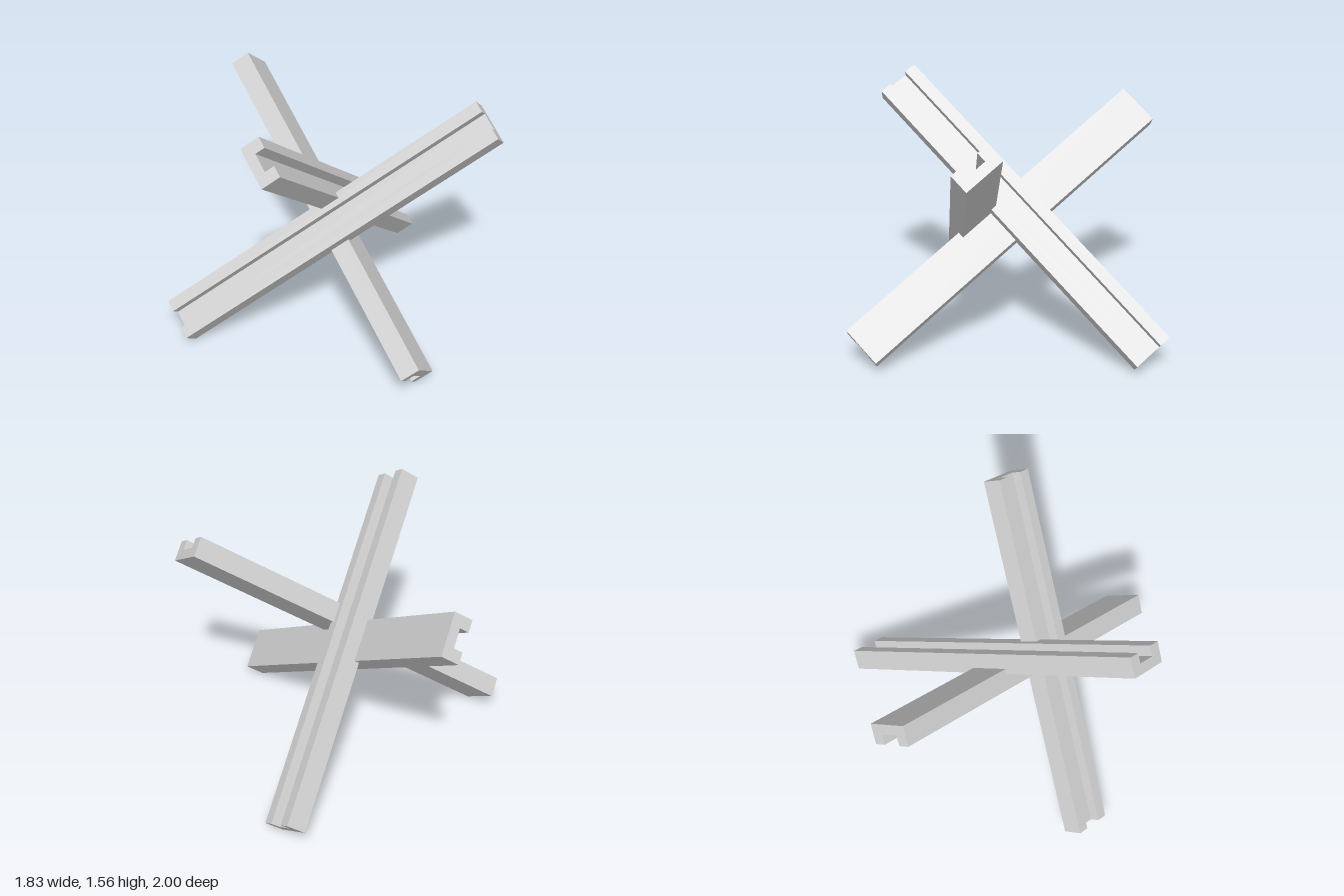
import * as THREE from 'three';

const LENGTH = 2.19, WIDTH = 0.254, DEPTH = 0.12, FLANGE = 0.07, WEB = 0.06;

// U-shaped channel section, open towards +y, extruded along z and centred
function channelGeometry() {
  const w = WIDTH / 2, d = DEPTH / 2, i = w - FLANGE, f = WEB - d;
  const section = new THREE.Shape([
    [-w, -d], [w, -d], [w, d], [i, d], [i, f], [-i, f], [-i, d], [-w, d],
  ].map(([x, y]) => new THREE.Vector2(x, y)));
  return new THREE.ExtrudeGeometry(section, { depth: LENGTH, bevelEnabled: false })
    .translate(0, 0, -LENGTH / 2);
}

export function createModel() {
  const group = new THREE.Group();
  group.name = 'crossedBeamBarrier';
  const geometry = channelGeometry();
  const material = new THREE.MeshStandardMaterial({ color: 0xcccccc, flatShading: true });

  // Three mutually perpendicular beam directions
  const p = new THREE.Vector3(0.7244, 0.578, 0.375).normalize();
  const q = new THREE.Vector3(-0.6915, 0.6185, 0.3765);
  q.addScaledVector(p, -q.dot(p)).normalize();
  const a = new THREE.Vector3().crossVectors(q, p);

  function addBeam(name, axis, open, centre) {
    const beam = new THREE.Mesh(geometry, material);
    beam.name = name;
    const side = new THREE.Vector3().crossVectors(open, axis);
    beam.quaternion.setFromRotationMatrix(new THREE.Matrix4().makeBasis(side, open, axis));
    beam.position.set(...centre);
    group.add(beam);
  }

  // Each beam's channel opens along the axis of another beam
  addBeam('leftRisingBeam', p, q, [-0.078, 0.747, 0.15]);
  addBeam('rightRisingBeam', q, p, [0.113, 0.785, -0.08]);
  addBeam('backRisingBeam', a, p.clone().negate(), [0.015, 0.703, -0.002]);
  return group;
}
